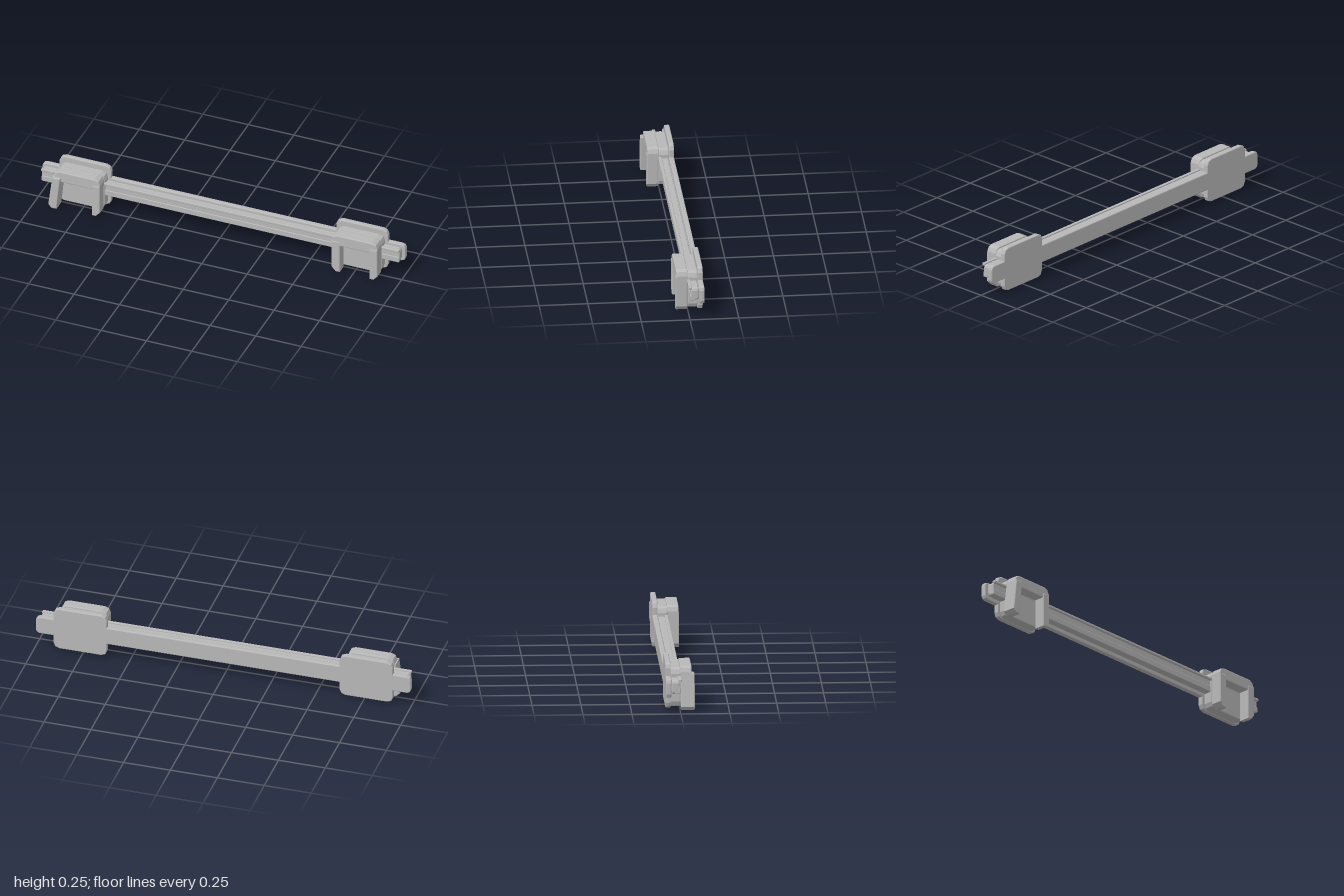
import * as THREE from 'three';

const grey = new THREE.MeshStandardMaterial({ color: 0xb8b8b8 });
grey.name = 'plain grey';

// Extrudes an outline from z0 to z1 with a small bevel kept inside the outline
function slab(name, points, z0, z1, bevel = 0.005) {
  const shape = new THREE.Shape(points.map(([x, y]) => new THREE.Vector2(x, y)));
  const geo = new THREE.ExtrudeGeometry(shape, {
    depth: z1 - z0 - 2 * bevel, bevelEnabled: true, bevelThickness: bevel,
    bevelSize: bevel, bevelOffset: -bevel, bevelSegments: 2,
  });
  geo.translate(0, 0, z0 + bevel);
  const mesh = new THREE.Mesh(geo, grey);
  mesh.name = name;
  return mesh;
}

// Rectangle with cut and softened corners
function cutRect(x0, x1, y0, y1, c) {
  const k = c * 0.3;
  return [
    [x0 + c, y0], [x1 - c, y0], [x1 - k, y0 + k], [x1, y0 + c],
    [x1, y1 - c], [x1 - k, y1 - k], [x1 - c, y1], [x0 + c, y1],
    [x0 + k, y1 - k], [x0, y1 - c], [x0, y0 + c], [x0 + k, y0 + k],
  ];
}

// Backing plate: long strip with a wide pad near each end, as one outline
function backOutline() {
  const half = [
    [0.62, 0.083], [0.62, 0.04], [0.629, 0.019], [0.65, 0.01],
    [0.875, 0.01], [0.896, 0.019], [0.905, 0.04], [0.905, 0.083],
    [0.98, 0.083], [0.994, 0.089], [1, 0.103],
    [1, 0.16], [0.994, 0.174], [0.98, 0.18], [0.905, 0.18],
    [0.905, 0.218], [0.896, 0.239], [0.875, 0.248],
    [0.65, 0.248], [0.629, 0.239], [0.62, 0.218], [0.62, 0.18],
  ];
  return [...half, ...half.map(([x, y]) => [-x, y]).reverse()];
}

// One bracket: pad, top bar and two legs; the outer leg may be tilted
function bracket(side, tilted) {
  const g = new THREE.Group();
  g.name = side > 0 ? 'leftBracket' : 'rightBracket';
  const put = (name, pts, z0, z1, b) => {
    const p = side > 0 ? pts : pts.map(([x, y]) => [-x, y]).reverse();
    g.add(slab(name, p, z0, z1, b));
  };
  put('pad', cutRect(0.635, 0.89, 0.013, 0.218, 0.03), -0.05, 0.003);
  put('padSlot', [[0.695, 0.16], [0.83, 0.16], [0.83, 0.168], [0.695, 0.168]], 0, 0.006, 0.001);
  put('topBar', [
    [0.638, 0.163], [0.89, 0.163], [0.89, 0.195], [0.881, 0.216], [0.86, 0.225],
    [0.668, 0.225], [0.647, 0.216], [0.638, 0.195],
  ], 0.001, 0.06);
  put('innerLeg', [
    [0.638, 0.028], [0.66, 0.004], [0.683, 0.004], [0.683, 0.19], [0.638, 0.19],
  ], 0.003, 0.063);
  if (tilted) {
    put('tiltedLeg', [
      [0.872, 0.001], [0.9, 0.001], [0.918, 0.02], [0.896, 0.19], [0.852, 0.19],
    ], 0.003, 0.075);
  } else {
    put('outerLeg', [
      [0.846, 0.004], [0.869, 0.004], [0.89, 0.028], [0.89, 0.19], [0.846, 0.19],
    ], 0.003, 0.063);
  }
  return g;
}

export function createModel() {
  const model = new THREE.Group();
  model.name = 'railWithBrackets';
  model.add(slab('backPlate', backOutline(), -0.075, -0.048));

  // Stepped rail along the whole length
  model.add(
    slab('railNeck', cutRect(-0.975, 0.975, 0.108, 0.162, 0.008), -0.052, -0.035, 0.002),
    slab('railUpper', cutRect(-0.985, 0.985, 0.1, 0.17, 0.014), -0.045, -0.006),
    slab('railLowerFace', cutRect(-0.985, 0.985, 0.1, 0.132, 0.006), -0.03, -0.002, 0.003),
    slab('railLip', cutRect(-0.985, 0.985, 0.163, 0.177, 0.003), -0.012, 0.005, 0.003),
  );

  model.add(bracket(1, false), bracket(-1, true));
  return model;
}
